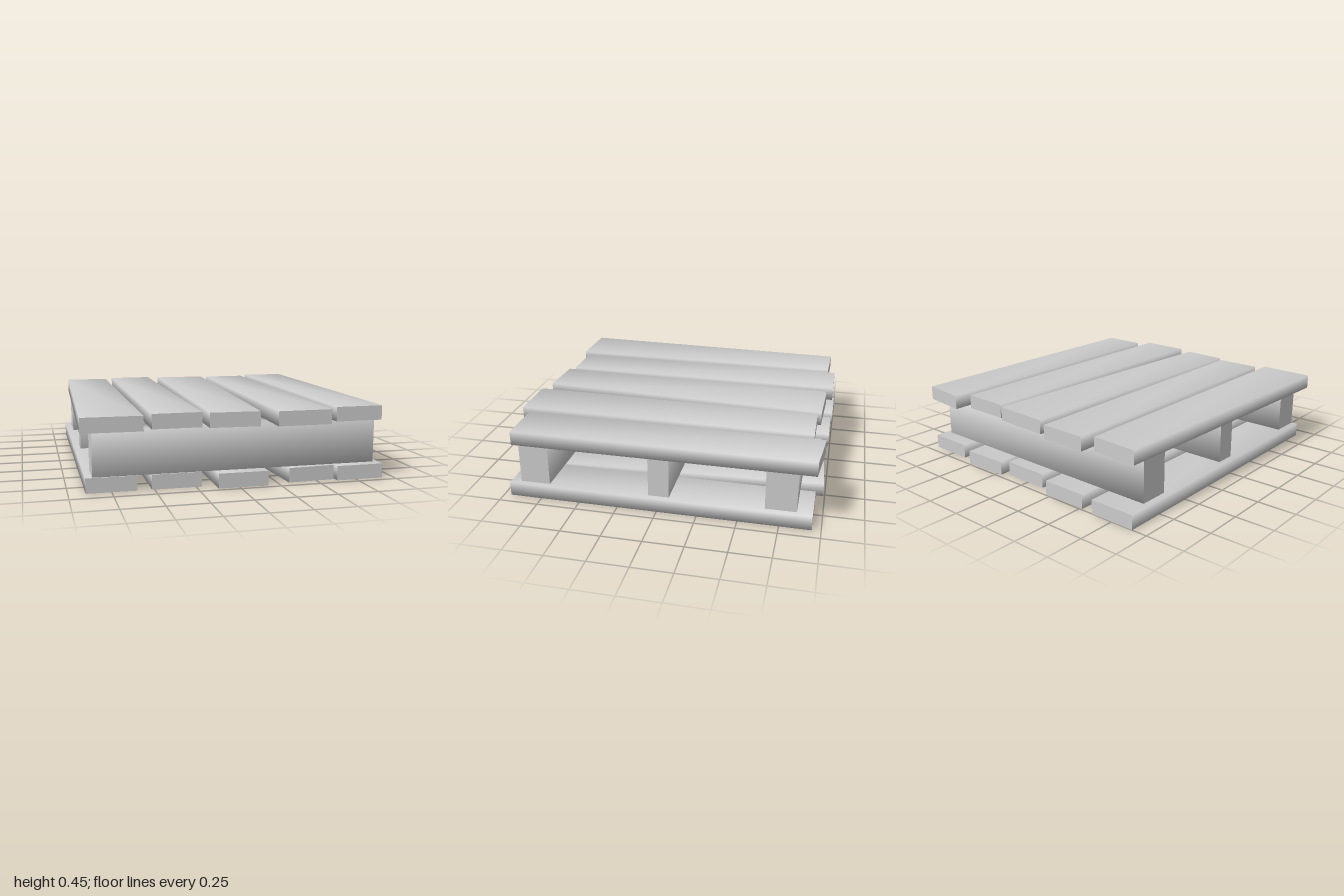
import * as THREE from 'three';

const material = new THREE.MeshStandardMaterial({ color: 0xcccccc });

// Timber running along z between two rectangular ends.
// Each end: [left x, left z, right x, right z]. Sides share smooth normals, ends are flat.
function timber(name, front, back, y0, y1) {
  const ring = ([lx, lz, rx, rz]) => [lx, y0, lz, rx, y0, rz, rx, y1, rz, lx, y1, lz];
  const corners = [...ring(front), ...ring(back)];
  const index = [];
  for (let i = 0; i < 4; i++) {
    const j = (i + 1) % 4;
    index.push(i, i + 4, j + 4, i, j + 4, j);
  }
  index.push(8, 9, 10, 8, 10, 11, 12, 14, 13, 12, 15, 14);
  const geometry = new THREE.BufferGeometry();
  geometry.setAttribute('position', new THREE.Float32BufferAttribute([...corners, ...corners], 3));
  geometry.setIndex(index);
  geometry.computeVertexNormals();
  const mesh = new THREE.Mesh(geometry, material);
  mesh.name = name;
  return mesh;
}

// Slightly crooked planks: [front end, back end]
const topPlanks = [
  [[-0.93, 0.955, -0.57, 0.965], [-0.87, -0.95, -0.57, -0.94]],
  [[-0.515, 0.915, -0.215, 0.915], [-0.515, -0.99, -0.215, -0.99]],
  [[-0.18, 0.95, 0.125, 0.965], [-0.14, -0.95, 0.225, -0.935]],
  [[0.225, 0.995, 0.56, 0.995], [0.265, -0.91, 0.565, -0.91]],
  [[0.625, 0.92, 0.925, 0.92], [0.625, -0.985, 0.925, -0.955]],
];
const bottomPlanks = [
  [[-0.9, 0.9, -0.6, 0.9], [-0.9, -1, -0.6, -1]],
  [[-0.515, 0.9, -0.215, 0.9], [-0.515, -0.99, -0.215, -0.99]],
  [[-0.13, 0.97, 0.175, 0.97], [-0.13, -0.94, 0.175, -0.94]],
  [[0.32, 0.935, 0.615, 0.92], [0.215, -0.975, 0.515, -0.99]],
  [[0.625, 0.955, 0.925, 0.955], [0.625, -0.945, 0.925, -0.945]],
];

export function createModel() {
  const pallet = new THREE.Group();
  pallet.name = 'pallet';

  // Upper and lower decks
  const decks = [['topPlank', topPlanks, 0.36, 0.45], ['bottomPlank', bottomPlanks, 0, 0.09]];
  for (const [name, planks, y0, y1] of decks) {
    planks.forEach(([front, back], i) => pallet.add(timber(name + (i + 1), front, back, y0, y1)));
  }

  // Three cross beams, turned to run along x
  const beams = [['frontBeam', 0.795, 0.19], ['middleBeam', -0.007, 0.13], ['backBeam', -0.755, 0.19]];
  for (const [name, z, width] of beams) {
    const w = width / 2;
    const beam = timber(name, [-w, 0.89, w, 0.89], [-w, -0.86, w, -0.86], 0.09, 0.36);
    beam.rotation.y = Math.PI / 2;
    beam.position.z = z;
    pallet.add(beam);
  }
  return pallet;
}
